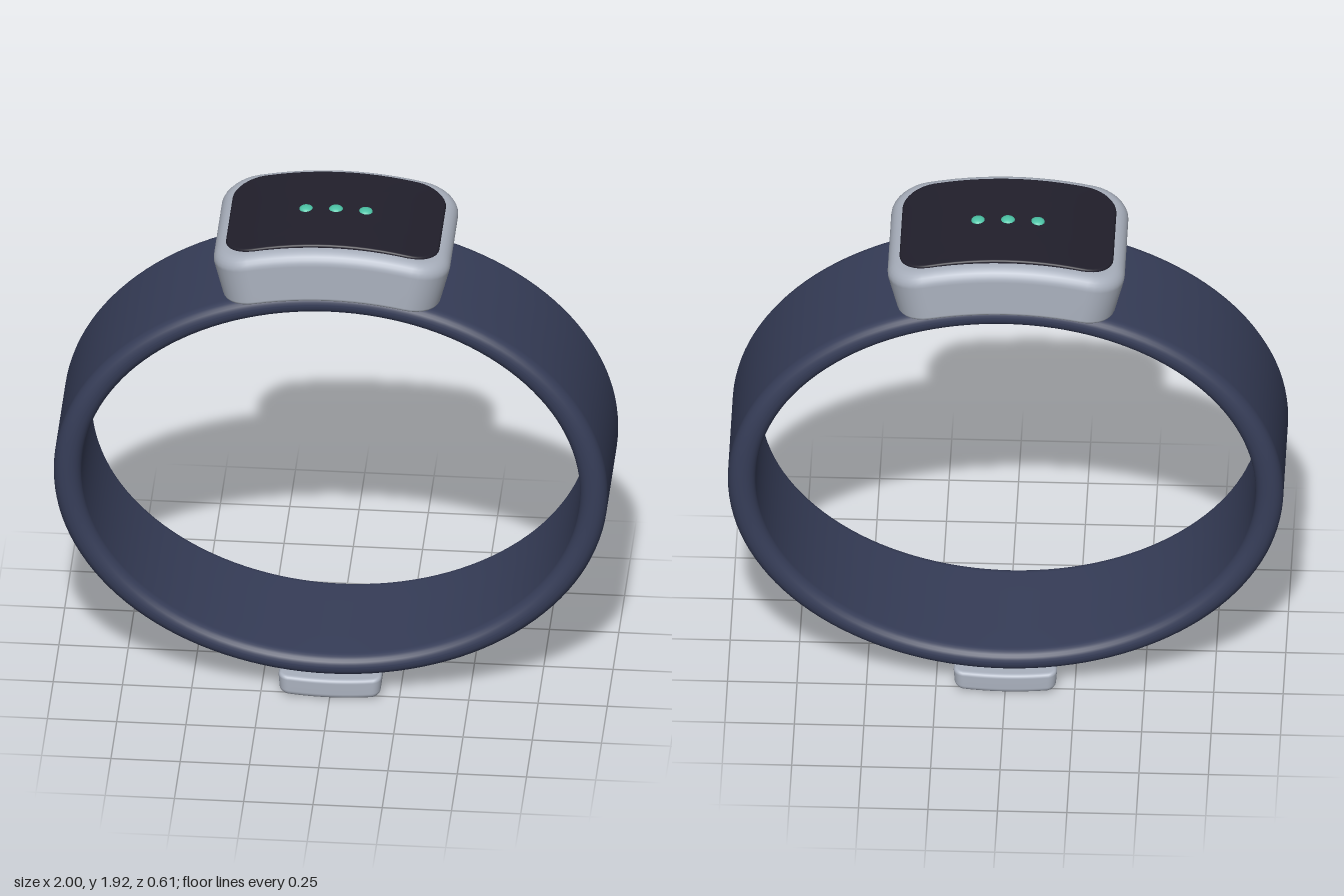
import * as THREE from 'three';

const material = (name, color, flat) => {
  const m = new THREE.MeshStandardMaterial({ color });
  m.name = name;
  return m;
};

// Rounded rectangle in the x/z plane, with evenly split sides so it can be bent
function roundedRect(hx, hz, r, arcSteps = 8, sideSteps = 12) {
  const corners = [[1, 1], [-1, 1], [-1, -1], [1, -1]].map(([sx, sz], k) => {
    const arc = [];
    for (let i = 0; i <= arcSteps; i++) {
      const a = (k + i / arcSteps) * Math.PI / 2;
      arc.push(new THREE.Vector2(sx * (hx - r) + r * Math.cos(a), sz * (hz - r) + r * Math.sin(a)));
    }
    return arc;
  });
  return corners.flatMap((arc, k) => {
    const last = arc[arcSteps], next = corners[(k + 1) % 4][0];
    const side = [];
    for (let i = 1; i < sideSteps; i++) side.push(last.clone().lerp(next, i / sideSteps));
    return [...arc, ...side];
  });
}

// Skin a list of equal rings of points; closed joins the last ring to the first
function loft(rings, closed = false) {
  const n = rings[0].length, index = [];
  const rows = closed ? rings.length : rings.length - 1;
  for (let i = 0; i < rows; i++) {
    const a = i * n, b = ((i + 1) % rings.length) * n;
    for (let j = 0; j < n; j++) {
      const k = (j + 1) % n;
      index.push(a + j, b + j, a + k, a + k, b + j, b + k);
    }
  }
  const g = new THREE.BufferGeometry();
  g.setAttribute('position', new THREE.Float32BufferAttribute(rings.flat(2), 3));
  g.setIndex(index);
  g.computeVertexNormals();
  return g;
}

// Soft-edged slab, bent along x (y shifts by bend * x^2) and flared with height
function bentSlab({ hx, hz, r, y0, y1, low, high, bend, flare = 0 }) {
  const profile = []; // [scale, inset, y] from the bottom centre to the top centre
  const caps = [0, 0.2, 0.4, 0.6, 0.8, 0.97];
  const steps = 6;
  caps.forEach(s => profile.push([s, low, y0]));
  for (let i = 0; i <= steps; i++) {
    const a = i / steps * Math.PI / 2;
    profile.push([1, low * (1 - Math.sin(a)), y0 + low * (1 - Math.cos(a))]);
  }
  for (let i = 0; i <= steps; i++) {
    const a = i / steps * Math.PI / 2;
    profile.push([1, high * (1 - Math.cos(a)), y1 - high * (1 - Math.sin(a))]);
  }
  caps.reverse().forEach(s => profile.push([s, high, y1]));
  return loft(profile.map(([s, d, y]) =>
    roundedRect(hx - d, hz - d, r - d).map(p => {
      const x = p.x * s * (1 + flare * (y - y1));
      return [x, y + bend * x * x, p.y * s];
    })));
}

export function createModel() {
  const navy = material('navy band', 0x363d58);
  const silver = material('silver metal', 0xaab1be);
  const black = material('black glass', 0x211f2b);
  const green = material('green light', 0x4cc3a5);

  const model = new THREE.Group();
  model.name = 'wristband';
  const add = (name, geometry, mat) => {
    const mesh = new THREE.Mesh(geometry, mat);
    mesh.name = name;
    model.add(mesh);
    return mesh;
  };

  // Oval strap with rounded edges
  const section = roundedRect(0.05, 0.27, 0.045, 6, 4);
  const rings = [];
  for (let i = 0; i < 128; i++) {
    const a = i / 128 * Math.PI * 2;
    rings.push(section.map(p => [
      (0.95 + p.x) * Math.cos(a), 0.89 + (0.769 + 0.82 * p.x) * Math.sin(a), p.y]));
  }
  add('strap', loft(rings, true), navy);

  // Curved case and the glass on top of it
  add('case', bentSlab({
    hx: 0.437, hz: 0.307, r: 0.135, y0: 1.699, y1: 1.896,
    low: 0.015, high: 0.048, bend: -0.37, flare: 0.55,
  }), silver);
  add('screen', bentSlab({
    hx: 0.385, hz: 0.252, r: 0.11, y0: 1.885, y1: 1.907,
    low: 0.004, high: 0.008, bend: -0.39,
  }), black);

  // Three indicator lights
  for (const x of [-0.107, 0, 0.107]) {
    const light = add('indicatorLight', new THREE.SphereGeometry(0.026, 20, 12), green);
    light.scale.y = 0.5;
    light.position.set(x, 1.903 - 0.39 * x * x, 0);
  }

  // Clasp under the strap
  add('clasp', bentSlab({
    hx: 0.187, hz: 0.288, r: 0.035, y0: 0, y1: 0.08,
    low: 0.022, high: 0.015, bend: 0.38, flare: 0.4,
  }), silver);

  return model;
}
